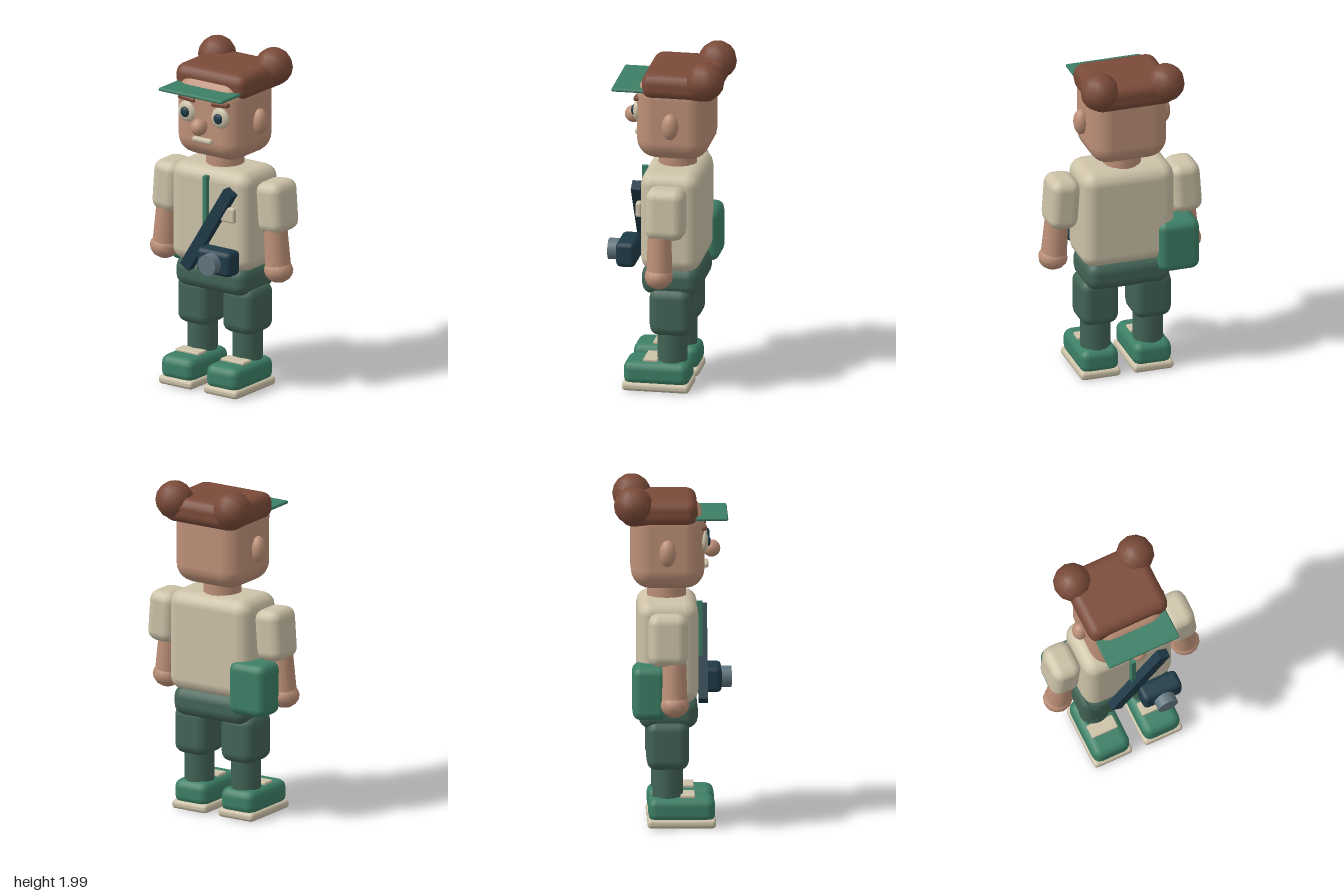
import * as THREE from 'three';
import { RoundedBoxGeometry } from 'three/addons/geometries/RoundedBoxGeometry.js';

const mat = (name, color) => {
  const m = new THREE.MeshStandardMaterial({ color });
  m.name = name;
  return m;
};

export function createModel() {
  const root = new THREE.Group();
  root.name = 'figure';

  const skin = mat('skin', 0xbd9078);
  const brown = mat('brown', 0x7a4a39);
  const cream = mat('cream', 0xcdc2a8);
  const green = mat('green', 0x3c7f66);
  const darkGreen = mat('darkGreen', 0x426355);
  const navy = mat('navy', 0x1f3a47);
  const grey = mat('lensGrey', 0x62757f);

  const add = (name, geo, material, pos, rotZ = 0, parent = root) => {
    const m = new THREE.Mesh(geo, material);
    m.name = name;
    m.position.set(...pos);
    m.rotation.z = rotZ;
    parent.add(m);
    return m;
  };
  const rbox = (w, h, d, r, seg = 2) => new RoundedBoxGeometry(w, h, d, seg, r);
  const ball = (rx, ry, rz, ws = 14, hs = 10) =>
    new THREE.SphereGeometry(1, ws, hs).scale(rx, ry, rz);
  const tube = (rt, rb, h, n = 16) => new THREE.CylinderGeometry(rt, rb, h, n);

  // Head and hair
  add('head', rbox(0.465, 0.49, 0.425, 0.115, 3), skin, [0, 1.635, -0.032]);
  add('neck', tube(0.112, 0.112, 0.14), skin, [0, 1.36, -0.035]);
  add('hair', rbox(0.5, 0.155, 0.44, 0.06), brown, [0, 1.843, -0.08]);
  add('capBrim', rbox(0.45, 0.02, 0.23, 0.009, 1), green, [0, 1.81, 0.2]);
  add('nose', ball(0.048, 0.05, 0.052), skin, [0, 1.6, 0.223]);
  add('mouth', rbox(0.136, 0.032, 0.034, 0.013), cream, [0, 1.512, 0.188]);

  // Torso and hips
  add('shirt', rbox(0.56, 0.6, 0.35, 0.08), cream, [0, 1.03, -0.032]);
  add('hips', rbox(0.51, 0.18, 0.342, 0.07), darkGreen, [0, 0.67, -0.03]);
  add('zip', new THREE.BoxGeometry(0.026, 0.52, 0.035), green, [0, 1.03, 0.155]);
  add('pocket', rbox(0.095, 0.09, 0.035, 0.012), cream, [0.163, 1.085, 0.158]);

  // Mirrored parts: s = 1 is the model's left, s = -1 its right
  for (const s of [1, -1]) {
    const side = new THREE.Group();
    side.name = s > 0 ? 'leftSide' : 'rightSide';
    root.add(side);
    const put = (name, geo, material, [x, y, z], rot = 0) =>
      add(name, geo, material, [s * x, y, z], s * rot, side);

    // Face and hair bun
    put('hairBun', ball(0.112, 0.112, 0.112, 12, 8), brown, [0.2, 1.888, -0.232]);
    put('ear', ball(0.045, 0.078, 0.049), skin, [0.247, 1.615, -0.035]);
    put('eye', ball(0.061, 0.063, 0.026), cream, [0.118, 1.665, 0.177]);
    put('pupil', ball(0.03, 0.031, 0.016), navy, [0.118, 1.665, 0.2]);
    put('eyebrow', rbox(0.12, 0.026, 0.035, 0.01), brown, [0.118, 1.744, 0.176], 0.08);

    // Arm
    put('sleeve', rbox(0.178, 0.305, 0.228, 0.06), cream, [0.37, 1.132, -0.035], 0.07);
    put('forearm', tube(0.068, 0.075, 0.24), skin, [0.39, 0.91, 0], 0.08);
    put('hand', ball(0.087, 0.073, 0.083, 12, 8), skin, [0.405, 0.757, 0.002], 0.08);

    // Leg and shoe
    put('thigh', rbox(0.23, 0.29, 0.245, 0.06), darkGreen, [0.16, 0.485, -0.033]);
    put('shin', tube(0.088, 0.088, 0.24), darkGreen, [0.16, 0.27, -0.033]);
    put('shoe', rbox(0.232, 0.145, 0.385, 0.05), green, [0.16, 0.11, 0.047]);
    put('sole', rbox(0.244, 0.052, 0.395, 0.022), cream, [0.16, 0.032, 0.047]);
    put('shoeTongue', rbox(0.165, 0.02, 0.085, 0.007, 1), cream, [0.16, 0.186, 0.082]);
  }

  // Shoulder strap and camera
  add('strap', new THREE.BoxGeometry(0.07, 0.592, 0.055), navy, [0.032, 0.979, 0.173], -0.555);
  add('cameraBody', rbox(0.244, 0.15, 0.115, 0.03), navy, [0.138, 0.82, 0.226]);
  add('cameraLens', tube(0.062, 0.062, 0.08, 14).rotateX(Math.PI / 2), grey, [0.138, 0.82, 0.302]);

  // Hip bag at the back right
  add('bag', rbox(0.25, 0.315, 0.2, 0.05), green, [-0.29, 0.82, -0.14]);

  return root;
}
